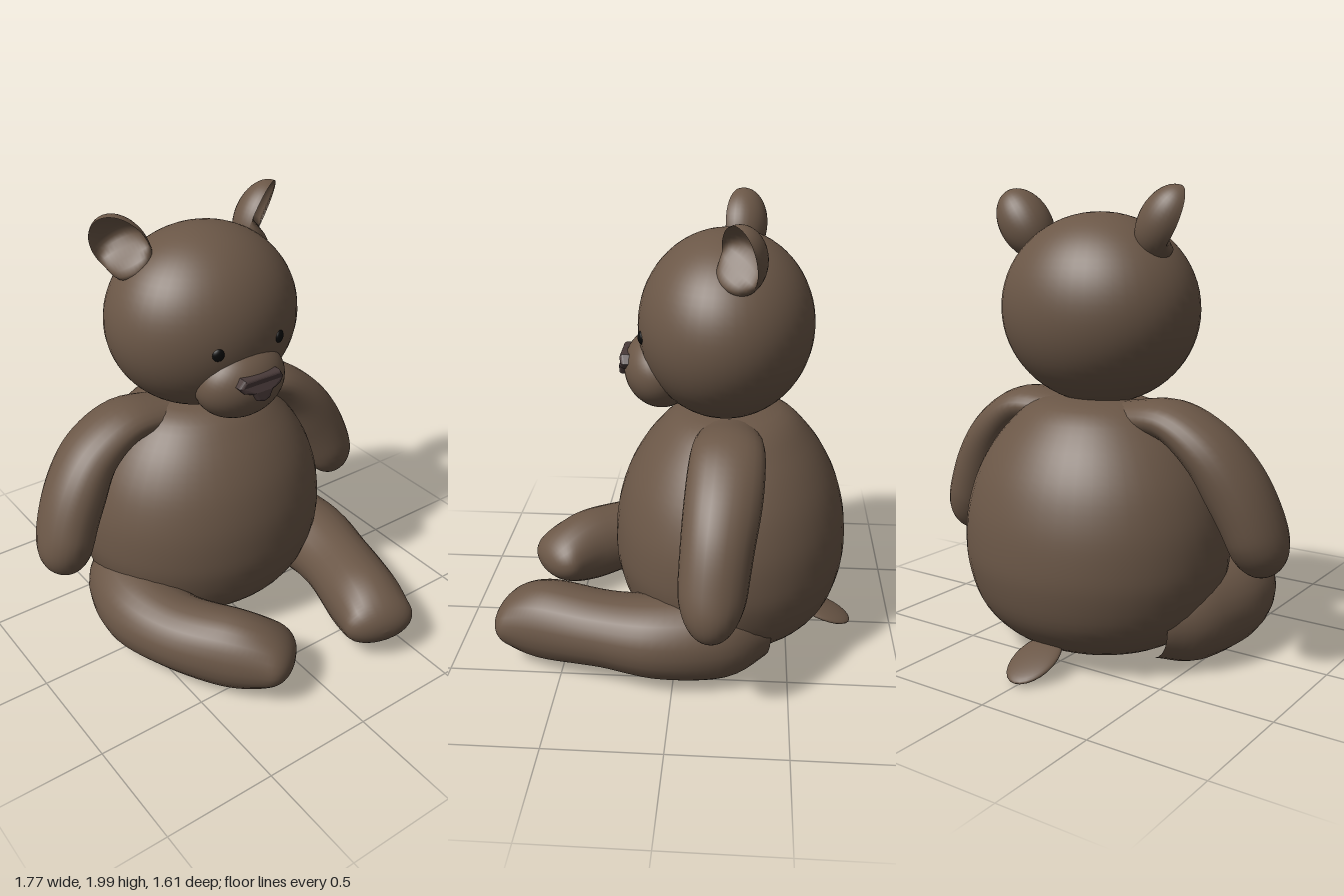
import * as THREE from 'three';

const V = (a) => new THREE.Vector3(...a);
const fur = new THREE.MeshStandardMaterial({ color: 0x6b5747 });
const furOpen = new THREE.MeshStandardMaterial({ color: 0x6b5747, side: THREE.DoubleSide });
const noseMat = new THREE.MeshStandardMaterial({ color: 0x493a39 });
const eyeMat = new THREE.MeshStandardMaterial({ color: 0x080808 });

function add(parent, name, geometry, material = fur) {
  const mesh = new THREE.Mesh(geometry, material);
  mesh.name = name;
  parent.add(mesh);
  return mesh;
}

function ellipsoid(parent, name, pos, radii, material = fur, segs = 40) {
  const mesh = add(parent, name, new THREE.SphereGeometry(1, segs, Math.round(segs * 0.7)), material);
  mesh.position.set(...pos);
  mesh.scale.set(...radii);
  return mesh;
}

// Limb swept along a spline with oval sections. Each station is
// [x, y, z, half width along "wide", half thickness across it].
// caps gives the rounded length at the far end for each of the two radii.
function limb(stations, wide, caps, rings = 44, sides = 24) {
  const curve = new THREE.CatmullRomCurve3(stations.map((s) => V(s.slice(0, 3))));
  const radii = new THREE.CatmullRomCurve3(stations.map((s) => new THREE.Vector3(s[3], s[4], 0)));
  const pos = [], idx = [];
  const cap = (t, len) => {
    const s = Math.max(0, (t - 1 + len) / len);
    return Math.pow(Math.max(0, 1 - Math.pow(s, 2.2)), 1 / 2.2);
  };
  for (let i = 0; i <= rings; i++) {
    const t = 1 - Math.pow(1 - i / rings, 1.7); // closer rings towards the tip
    const c = curve.getPoint(t), r = radii.getPoint(t);
    const T = curve.getTangent(t);
    const W = wide.clone().addScaledVector(T, -wide.dot(T)).normalize();
    const N = new THREE.Vector3().crossVectors(T, W);
    for (let j = 0; j < sides; j++) {
      const a = (j / sides) * Math.PI * 2;
      const p = c.clone()
        .addScaledVector(W, Math.cos(a) * r.x * cap(t, caps[0]))
        .addScaledVector(N, Math.sin(a) * r.y * cap(t, caps[1]));
      pos.push(p.x, p.y, p.z);
      if (i < rings) {
        const k = (j + 1) % sides, p0 = i * sides, p1 = p0 + sides;
        idx.push(p0 + j, p0 + k, p1 + j, p0 + k, p1 + k, p1 + j);
      }
    }
  }
  const g = new THREE.BufferGeometry();
  g.setAttribute('position', new THREE.Float32BufferAttribute(pos, 3));
  g.setIndex(idx);
  g.computeVertexNormals();
  return g;
}

// Ear: a sphere whose upper front is pushed in to form a cup
function earGeometry() {
  const g = new THREE.SphereGeometry(1, 32, 24);
  const p = g.attributes.position;
  for (let i = 0; i < p.count; i++) {
    const y = p.getY(i), z = p.getZ(i);
    if (z > 0) p.setZ(i, z * THREE.MathUtils.lerp(0.9, -0.72, THREE.MathUtils.smoothstep(y, -0.6, 0.1)));
  }
  g.scale(0.115, 0.165, 0.11);
  g.computeVertexNormals();
  return g;
}

export function createModel() {
  const bear = new THREE.Group();
  bear.name = 'teddyBear';

  // Pear-shaped body
  const profile = new THREE.SplineCurve([
    [0, 0.01], [0.2, 0.03], [0.4, 0.1], [0.53, 0.22], [0.59, 0.38], [0.6, 0.52],
    [0.58, 0.67], [0.52, 0.83], [0.41, 0.985], [0.26, 1.1], [0, 1.13],
  ].map((p) => new THREE.Vector2(...p))).getPoints(44);
  profile.forEach((p) => { p.x = Math.max(0, p.x); });
  const body = add(bear, 'body', new THREE.LatheGeometry(profile, 48));
  body.scale.z = 0.875;
  body.position.z = -0.228;

  // Head and face
  const head = new THREE.Group();
  head.name = 'head';
  bear.add(head);
  ellipsoid(head, 'skull', [0, 1.493, -0.195], [0.445, 0.405, 0.38], fur, 48);
  const muzzle = ellipsoid(head, 'muzzle', [0, 1.287, 0.088], [0.215, 0.173, 0.16]);
  muzzle.rotation.x = 0.35;

  // T-shaped nose with rounded edges, bent around the muzzle
  const outline = [[-0.085, 1.358], [0.085, 1.358], [0.1, 1.335], [0.085, 1.318], [0.04, 1.305],
    [0.022, 1.272], [0, 1.265], [-0.022, 1.272], [-0.04, 1.305], [-0.085, 1.318], [-0.1, 1.335]];
  const noseShape = new THREE.Shape(outline.map((p) => new THREE.Vector2(...p)).reverse());
  const noseGeo = new THREE.ExtrudeGeometry(noseShape, {
    depth: 0.045, bevelThickness: 0.014, bevelSize: 0.012, bevelSegments: 4,
  });
  const np = noseGeo.attributes.position;
  for (let i = 0; i < np.count; i++) np.setZ(i, np.getZ(i) + 0.212 - 1.5 * np.getX(i) ** 2);
  noseGeo.computeVertexNormals();
  add(head, 'nose', noseGeo, noseMat);

  // Eyes and ears, mirrored
  const earGeo = earGeometry();
  for (const s of [1, -1]) {
    const side = s > 0 ? 'left' : 'right';
    const eye = ellipsoid(head, side + 'Eye', [s * 0.158, 1.47, 0.155], [0.027, 0.029, 0.016], eyeMat, 20);
    eye.rotation.y = s * 0.4;
    const up = V([s * 0.55, 0.83, -0.05]).normalize();
    const open = V([s * 0.62, -0.15, 0.75]);
    open.addScaledVector(up, -open.dot(up)).normalize();
    const ear = add(head, side + 'Ear', earGeo, furOpen);
    ear.quaternion.setFromRotationMatrix(
      new THREE.Matrix4().makeBasis(new THREE.Vector3().crossVectors(up, open), up, open));
    ear.position.set(s * 0.355, 1.848, -0.25);
  }

  // Arms, each hanging a little differently
  const zAxis = V([0, 0, 1]), yAxis = V([0, 1, 0]);
  add(bear, 'leftArm', limb([
    [0.18, 1.05, -0.22, 0.13, 0.07], [0.38, 1.05, -0.22, 0.155, 0.085], [0.54, 0.93, -0.21, 0.16, 0.11],
    [0.66, 0.76, -0.19, 0.15, 0.13], [0.745, 0.58, -0.175, 0.14, 0.125], [0.805, 0.405, -0.17, 0.125, 0.11],
  ], zAxis, [0.25, 0.16]));
  add(bear, 'rightArm', limb([
    [-0.18, 1.05, -0.24, 0.13, 0.07], [-0.4, 1.055, -0.245, 0.15, 0.085], [-0.57, 0.95, -0.24, 0.16, 0.11],
    [-0.68, 0.79, -0.21, 0.16, 0.13], [-0.755, 0.61, -0.18, 0.15, 0.125], [-0.78, 0.44, -0.15, 0.13, 0.11],
  ], zAxis, [0.25, 0.16]));

  // Legs, stretched forward with blunt feet; the right one turns inwards
  add(bear, 'leftLeg', limb([
    [0.36, 0.22, -0.36, 0.15, 0.14], [0.45, 0.22, -0.18, 0.2, 0.19], [0.485, 0.22, 0.05, 0.185, 0.195],
    [0.45, 0.22, 0.3, 0.165, 0.175], [0.38, 0.212, 0.56, 0.18, 0.175], [0.315, 0.2, 0.79, 0.165, 0.165],
  ], yAxis, [0.24, 0.07]));
  add(bear, 'rightLeg', limb([
    [-0.36, 0.22, -0.36, 0.15, 0.14], [-0.45, 0.22, -0.18, 0.2, 0.19], [-0.495, 0.22, 0.03, 0.185, 0.19],
    [-0.45, 0.22, 0.25, 0.165, 0.175], [-0.31, 0.212, 0.48, 0.18, 0.165], [-0.12, 0.2, 0.68, 0.165, 0.155],
  ], yAxis, [0.24, 0.07]));

  // Small flat tail
  const tail = ellipsoid(bear, 'tail', [0, 0.08, -0.675], [0.1, 0.025, 0.145], fur, 24);
  tail.rotation.x = -0.38;

  return bear;
}
